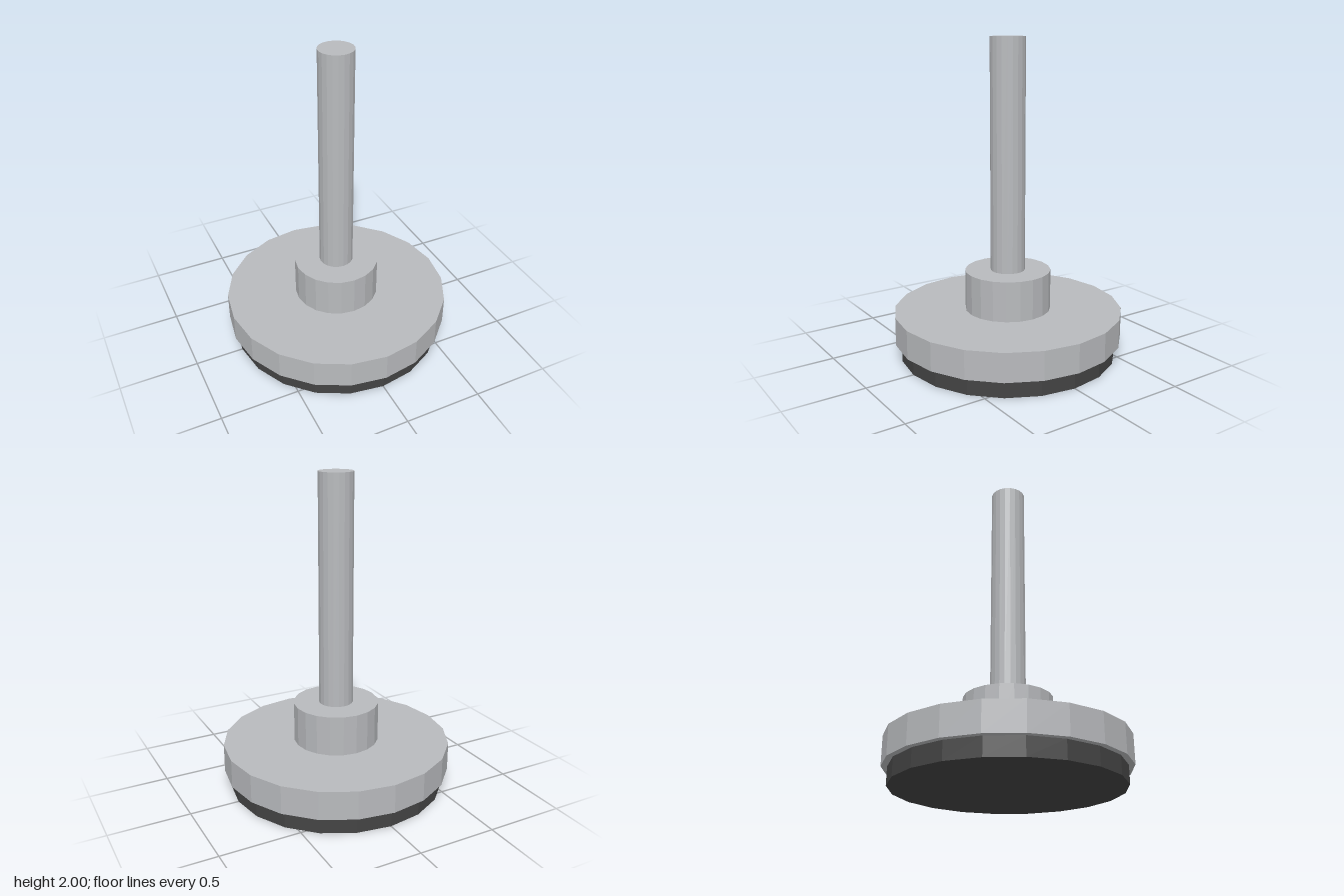
import * as THREE from 'three';

export function createModel() {
  const group = new THREE.Group();
  const steel = new THREE.MeshStandardMaterial({ color: 0xb8babd, flatShading: true });
  steel.name = 'steel grey';
  const rubber = new THREE.MeshStandardMaterial({ color: 0x444444, flatShading: true });
  rubber.name = 'black rubber';

  // Upright 20-sided cylinder between two heights
  const addCylinder = (name, radius, bottom, top, material) => {
    const geometry = new THREE.CylinderGeometry(radius, radius, top - bottom, 20);
    const mesh = new THREE.Mesh(geometry, material);
    mesh.name = name;
    mesh.position.y = (bottom + top) / 2;
    group.add(mesh);
  };

  addCylinder('rubberPad', 0.69, 0, 0.11, rubber);
  addCylinder('baseDisc', 0.727, 0.11, 0.29, steel);
  addCylinder('hub', 0.272, 0.29, 0.545, steel);
  addCylinder('rod', 0.109, 0.545, 2, steel);

  return group;
}
